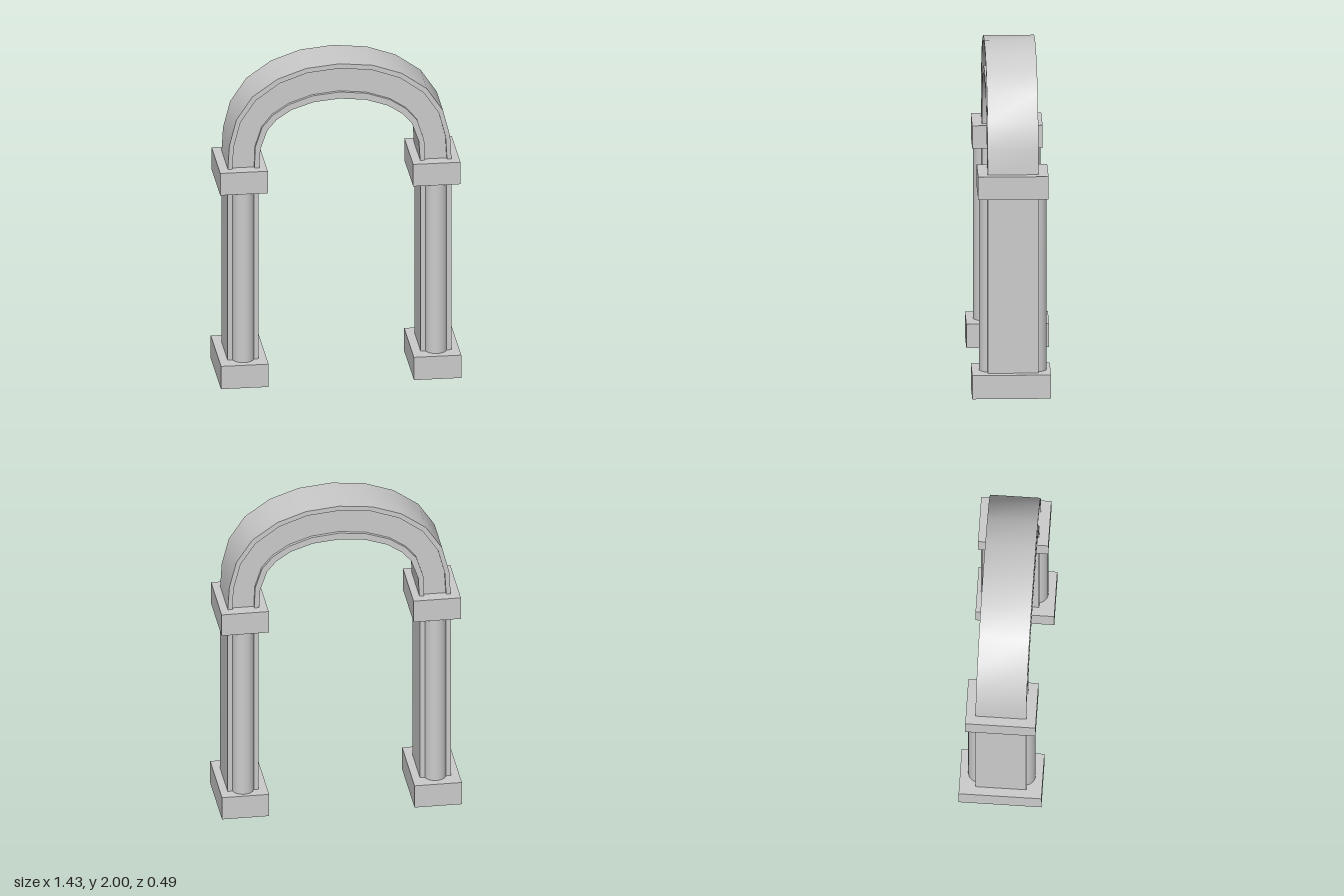
import * as THREE from 'three';
import { toCreasedNormals } from 'three/addons/utils/BufferGeometryUtils.js';

const material = new THREE.MeshStandardMaterial({ color: 0xcccccc });

function addMesh(parent, name, geometry, x = 0, y = 0, z = 0) {
  const mesh = new THREE.Mesh(geometry, material);
  mesh.name = name;
  mesh.position.set(x, y, z);
  parent.add(mesh);
  return mesh;
}

// Block given by its extents on each axis
function addBlock(parent, name, [x0, x1], [y0, y1], [z0, z1]) {
  addMesh(parent, name, new THREE.BoxGeometry(x1 - x0, y1 - y0, z1 - z0),
    (x0 + x1) / 2, (y0 + y1) / 2, (z0 + z1) / 2);
}

// Half of each arch curve, from the springing up to the crown
const SPRING = 1.34;
const outer = [[0.667, SPRING], [0.657, 1.508], [0.615, 1.672], [0.519, 1.815], [0.37, 1.92], [0.198, 1.98], [0, 2]];
const rimOuter = [[0.64, SPRING], [0.631, 1.5], [0.59, 1.657], [0.5, 1.79], [0.358, 1.892], [0.192, 1.951], [0, 1.97]];
const rimInner = [[0.508, SPRING], [0.503, 1.49], [0.462, 1.616], [0.398, 1.692], [0.3, 1.756], [0.162, 1.803], [0, 1.82]];
const inner = [[0.48, SPRING], [0.472, 1.48], [0.43, 1.598], [0.376, 1.661], [0.286, 1.72], [0.155, 1.763], [0, 1.778]];

const fullCurve = (half) => [
  ...half,
  ...half.slice(0, -1).reverse().map(([x, y]) => [-x, y]),
];

// Band between two arch curves, extruded evenly about z = 0
function archBand(a, b, depth) {
  const points = [...fullCurve(a), ...fullCurve(b).reverse()].map(([x, y]) => new THREE.Vector2(x, y));
  const geometry = new THREE.ExtrudeGeometry(new THREE.Shape(points), { depth, bevelEnabled: false });
  geometry.translate(0, 0, -depth / 2);
  return toCreasedNormals(geometry, 0.6);
}

export function createModel() {
  const model = new THREE.Group();
  model.name = 'archway';

  // Arch with a sunken face between two raised rims
  const arch = new THREE.Group();
  arch.name = 'arch';
  addMesh(arch, 'archFace', archBand(rimOuter, rimInner, 0.26));
  addMesh(arch, 'outerRim', archBand(outer, rimOuter, 0.3));
  addMesh(arch, 'innerRim', archBand(rimInner, inner, 0.3));
  model.add(arch);

  // Pillars; the two plinths differ slightly in size
  const sides = [
    { name: 'leftPillar', s: 1, block: [0.43, 0.712], plinthZ: [-0.223, 0.243] },
    { name: 'rightPillar', s: -1, block: [-0.718, -0.435], plinthZ: [-0.247, 0.243] },
  ];
  for (const { name, s, block, plinthZ } of sides) {
    const pillar = new THREE.Group();
    pillar.name = name;
    addBlock(pillar, 'plinth', block, [0, 0.145], plinthZ);
    addBlock(pillar, 'capital', block, [1.22, 1.36], [-0.208, 0.208]);
    addBlock(pillar, 'shaft', s > 0 ? [0.482, 0.667] : [-0.667, -0.482], [0.14, 1.23], [-0.15, 0.15]);
    // Engaged round columns on the front and back
    for (const f of [1, -1]) {
      addMesh(pillar, f > 0 ? 'frontColumn' : 'backColumn',
        new THREE.CylinderGeometry(0.065, 0.065, 1.09, 24, 1, true), s * 0.574, 0.685, f * 0.135);
    }
    model.add(pillar);
  }
  return model;
}
